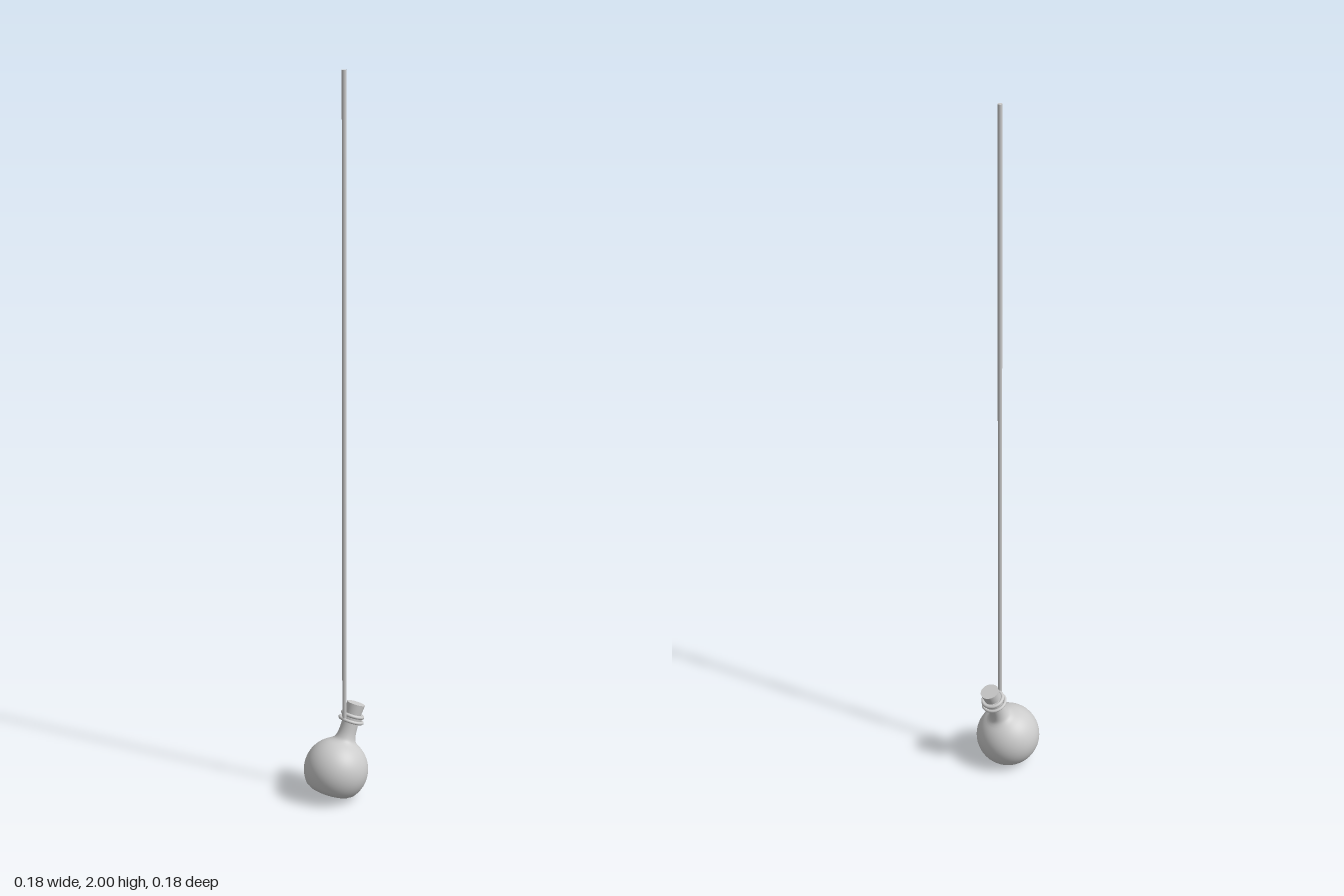
import * as THREE from 'three';

const material = new THREE.MeshStandardMaterial({ color: 0xcccccc, side: THREE.DoubleSide });

function addMesh(parent, name, geometry) {
  const mesh = new THREE.Mesh(geometry, material);
  mesh.name = name;
  parent.add(mesh);
  return mesh;
}

export function createModel() {
  const model = new THREE.Group();
  model.name = 'hangingFlask';

  // Tilted flask, with its origin at the centre of the round bulb
  const flask = new THREE.Group();
  flask.name = 'flask';
  flask.position.set(-0.002, 0.083, 0);
  flask.rotation.z = THREE.MathUtils.degToRad(-20.5);
  model.add(flask);

  // Bulb: flattened base with a rounded edge, then a sphere arc up into the neck
  const R = 0.088;
  const profile = [[0, -0.066], [0.03, -0.0665], [0.046, -0.067], [0.055, -0.0645], [0.061, -0.06]]
    .map(([r, y]) => new THREE.Vector2(r, y));
  for (let i = 0; i <= 20; i++) {
    const a = THREE.MathUtils.lerp(-0.7, 1.08, i / 20);
    profile.push(new THREE.Vector2(R * Math.cos(a), R * Math.sin(a)));
  }
  const neckCurve = new THREE.SplineCurve([[0.0415, 0.0776], [0.031, 0.086], [0.026, 0.098], [0.0235, 0.118], [0.023, 0.15]]
    .map(([r, y]) => new THREE.Vector2(r, y)));
  profile.push(...neckCurve.getPoints(14).slice(1));
  addMesh(flask, 'bulbAndNeck', new THREE.LatheGeometry(profile, 48));

  // Lower neck ring and the mouth lip
  for (const [name, y, outer, thickness] of [['neckRing', 0.143, 0.036, 0.0045], ['mouthLip', 0.158, 0.033, 0.005]]) {
    const ring = addMesh(flask, name, new THREE.TorusGeometry(outer - thickness, thickness, 12, 40));
    ring.rotation.x = Math.PI / 2;
    ring.position.y = y;
  }
  const mouth = addMesh(flask, 'mouth', new THREE.CylinderGeometry(0.028, 0.027, 0.024, 40));
  mouth.position.y = 0.15;

  // Cork, slightly wider at the top
  const cork = addMesh(flask, 'cork', new THREE.CylinderGeometry(0.0255, 0.0215, 0.04, 32));
  cork.position.y = 0.171;

  // Long cord rising from the neck ring
  const cordPath = new THREE.LineCurve3(new THREE.Vector3(0.021, 0.232, 0.007), new THREE.Vector3(0.017, 2, 0.008));
  addMesh(model, 'cord', new THREE.TubeGeometry(cordPath, 8, 0.006, 10));
  for (const t of [0, 1]) {
    const end = addMesh(model, t ? 'cordTopEnd' : 'cordBottomEnd', new THREE.CircleGeometry(0.006, 10));
    end.rotation.x = t ? -Math.PI / 2 : Math.PI / 2;
    end.position.copy(cordPath.getPoint(t));
  }

  return model;
}
